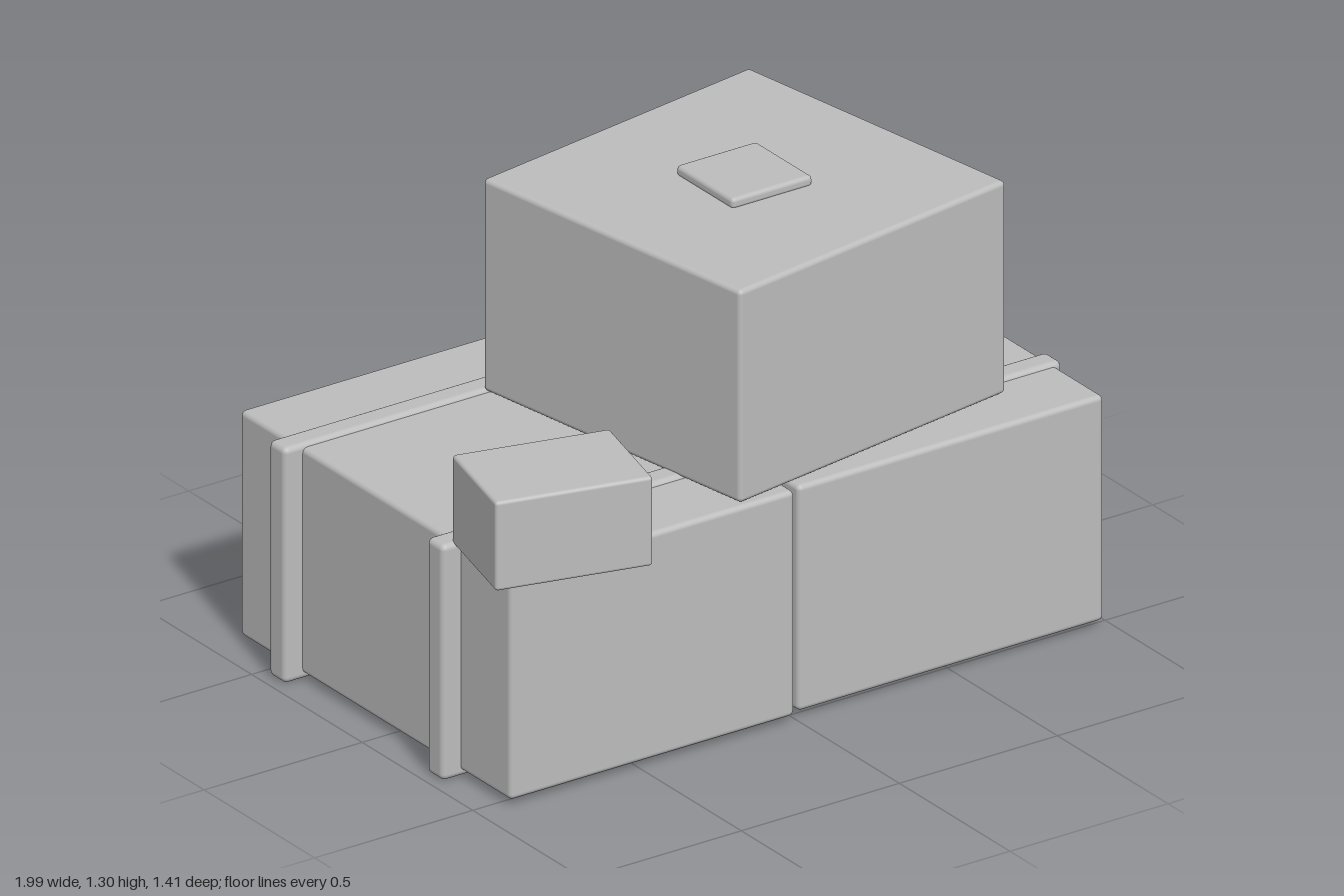
import * as THREE from 'three';
import { RoundedBoxGeometry } from 'three/addons/geometries/RoundedBoxGeometry.js';

export function createModel() {
  const model = new THREE.Group();
  model.name = 'stackedBoxes';

  const grey = new THREE.MeshStandardMaterial({ color: 0xbcbcbc });
  grey.name = 'grey';

  // Soft-edged box from its centre, size and turn about the vertical
  function box(name, [x, y, z], [w, h, d], radius, turn = 0) {
    const mesh = new THREE.Mesh(new RoundedBoxGeometry(w, h, d, 3, radius), grey);
    mesh.name = name;
    mesh.position.set(x, y, z);
    mesh.rotation.y = turn;
    model.add(mesh);
  }

  // Two large boxes side by side
  box('rightBaseBox', [-0.46, 0.341, -0.07], [0.9, 0.647, 1.225], 0.015);
  box('leftBaseBox', [0.493, 0.341, -0.08], [0.967, 0.647, 1.22], 0.015);

  // Straps round both of them
  [['frontStrap', 0.28], ['backStrap', -0.435]].forEach(([name, z]) =>
    box(name, [0.013, 0.338, z], [1.96, 0.676, 0.075], 0.017));

  // Large box on top, turned a little, with its lid label
  box('topBox', [0.22, 0.973, -0.015], [0.963, 0.61, 0.957], 0.014, 0.162);
  box('lidLabel', [0.22, 1.288, -0.016], [0.255, 0.032, 0.257], 0.012);

  // Small box on the front corner
  box('smallBox', [-0.747, 0.793, 0.5], [0.438, 0.256, 0.315], 0.01, -0.243);

  // Label on the back
  box('backLabel', [-0.463, 0.405, -0.694], [0.318, 0.192, 0.034], 0.012);

  return model;
}
